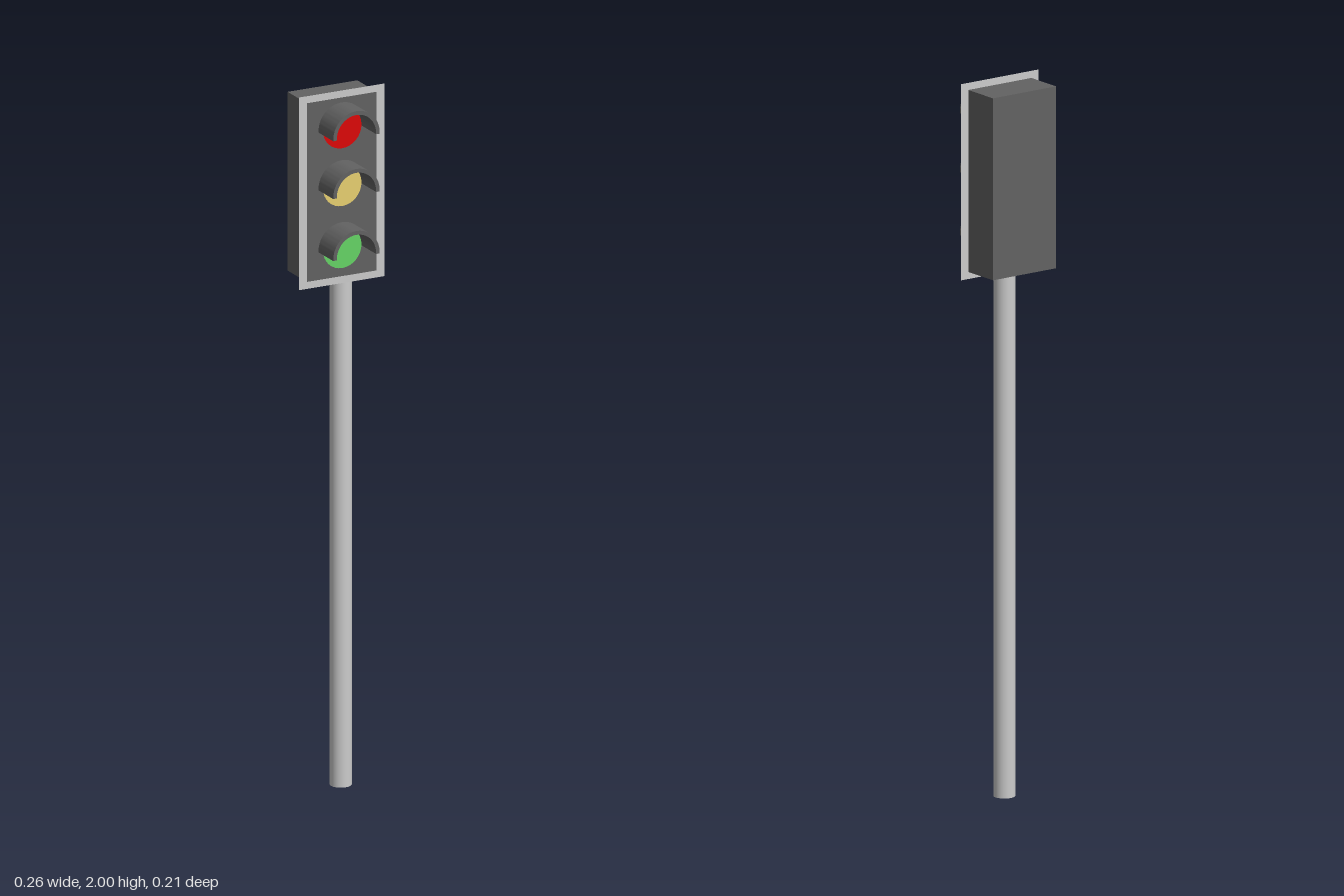
import * as THREE from 'three';
import { toCreasedNormals } from 'three/addons/utils/BufferGeometryUtils.js';

const grey = new THREE.MeshStandardMaterial({ color: 0xcccccc });
const thinGrey = new THREE.MeshStandardMaterial({ color: 0xcccccc, side: THREE.DoubleSide });
const dark = new THREE.MeshStandardMaterial({ color: 0x626262 });

function add(parent, name, geometry, material, x, y, z) {
  const mesh = new THREE.Mesh(geometry, material);
  mesh.name = name;
  mesh.position.set(x, y, z);
  parent.add(mesh);
  return mesh;
}

// Half-round hood, open underneath and at the front
function visorGeometry(outer, inner, length) {
  const drop = 0.06;
  const shape = new THREE.Shape();
  shape.absarc(0, 0, outer, -drop, Math.PI + drop, false);
  shape.absarc(0, 0, inner, Math.PI + drop, -drop, true);
  shape.closePath();
  const geometry = new THREE.ExtrudeGeometry(shape, { depth: length, bevelEnabled: false, curveSegments: 20 });
  return toCreasedNormals(geometry, 0.6);
}

// Flat rectangular frame
function frameGeometry(w, h, holeW, holeH) {
  const rect = (target, a, b) => {
    target.moveTo(-a / 2, -b / 2);
    target.lineTo(a / 2, -b / 2);
    target.lineTo(a / 2, b / 2);
    target.lineTo(-a / 2, b / 2);
    target.closePath();
    return target;
  };
  const shape = rect(new THREE.Shape(), w, h);
  shape.holes.push(rect(new THREE.Path(), holeW, holeH));
  return new THREE.ShapeGeometry(shape);
}

export function createModel() {
  const model = new THREE.Group();
  model.name = 'trafficLight';

  // Pole
  add(model, 'pole', new THREE.CylinderGeometry(0.03, 0.03, 1.472, 32), grey, 0.03, 0.736, -0.04);

  // Signal head, turned slightly; its origin is the middle of the front face
  const head = new THREE.Group();
  head.name = 'signalHead';
  head.position.set(0, 0, 0.012);
  head.rotation.y = -0.084;
  model.add(head);

  add(head, 'housing', new THREE.BoxGeometry(0.214, 0.51, 0.112), dark, 0, 1.725, -0.056);
  add(head, 'backboard', frameGeometry(0.262, 0.55, 0.214, 0.51), thinGrey, 0, 1.725, 0);

  // Three lamps, each under its visor
  const lamps = [
    ['redLamp', 0xdd0808, 1.895],
    ['amberLamp', 0xe8d070, 1.73],
    ['greenLamp', 0x66d466, 1.553],
  ];
  const lens = new THREE.CircleGeometry(0.059, 32);
  const visor = visorGeometry(0.071, 0.06, 0.086);
  for (const [name, color, y] of lamps) {
    add(head, name, lens, new THREE.MeshStandardMaterial({ color }), 0, y, 0.003);
    add(head, name + 'Visor', visor, dark, 0, y, 0);
  }
  return model;
}
